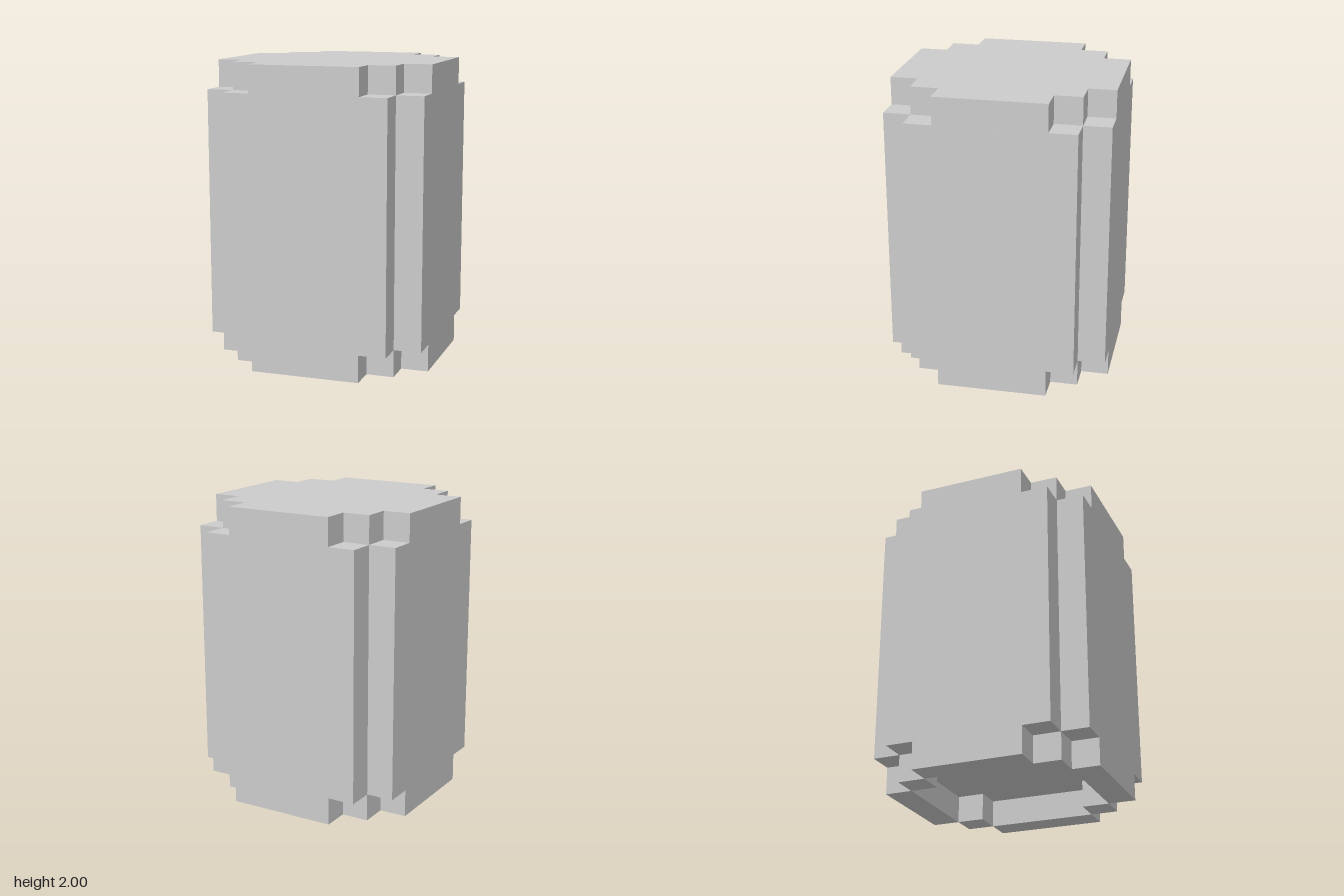
import * as THREE from 'three';

const U = 2 / 11; // one block

export function createModel() {
  const group = new THREE.Group();
  group.name = 'blockBarrel';
  const material = new THREE.MeshStandardMaterial({ color: 0xcccccc, flatShading: true });

  function add(name, geometry) {
    const mesh = new THREE.Mesh(geometry, material);
    mesh.name = name;
    group.add(mesh);
    return mesh;
  }

  // Upright prism whose outline is one corner's steps turned four times
  function steppedPrism(name, corner, bottom, height) {
    const points = [];
    for (let i = 0, turned = corner; i < 4; i++) {
      points.push(...turned.map(([x, y]) => new THREE.Vector2(x * U, y * U)));
      turned = turned.map(([x, y]) => [-y, x]);
    }
    const geometry = new THREE.ExtrudeGeometry(new THREE.Shape(points), {
      depth: height * U, bevelEnabled: false,
    });
    geometry.rotateX(-Math.PI / 2);
    geometry.translate(0, bottom * U, 0);
    add(name, geometry);
  }

  // Main body with square-cut corners, and the narrower top layer
  steppedPrism('body', [[4, 3], [3, 3], [3, 4]], 1, 9);
  steppedPrism('topLayer', [[4, 2], [3, 2], [3, 3], [2, 3], [2, 4]], 10, 1);

  // Bottom rim around a recess: four bars and four corner blocks
  for (let i = 0; i < 4; i++) {
    const angle = i * Math.PI / 2;
    const bar = new THREE.BoxGeometry(U, U, 4 * U);
    bar.translate(3.5 * U, U / 2, 0);
    add('baseBar', bar.rotateY(angle));

    const block = new THREE.BoxGeometry(U, U, U);
    block.translate(2.5 * U, U / 2, 2.5 * U);
    add('baseCorner', block.rotateY(angle));
  }

  return group;
}
